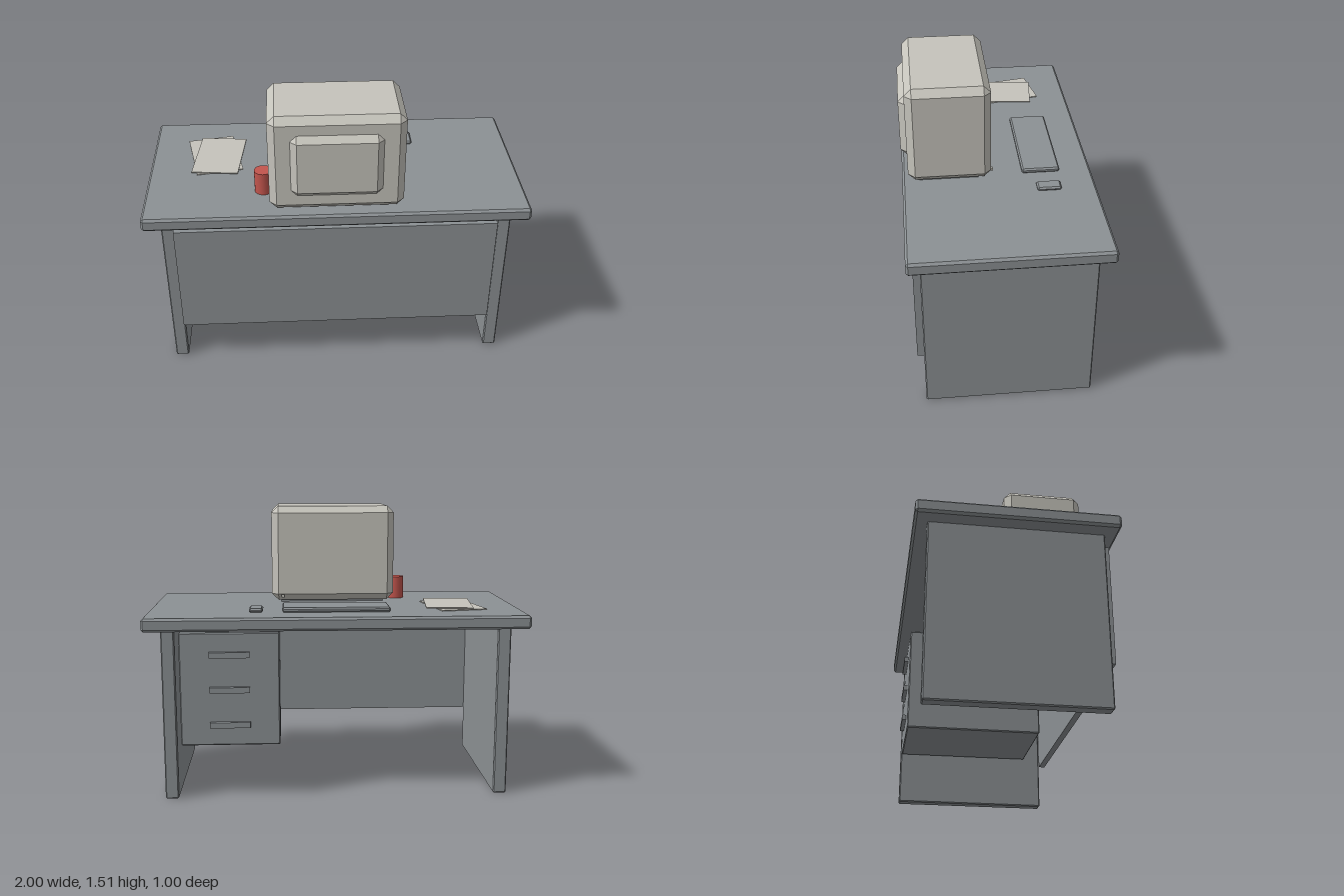
import * as THREE from 'three';
import { ConvexGeometry } from 'three/addons/geometries/ConvexGeometry.js';

// Box with flat chamfers on every edge
function chamferBox(w, h, d, c) {
  const pts = [];
  for (const sx of [-1, 1]) for (const sy of [-1, 1]) for (const sz of [-1, 1]) {
    const x = w / 2, y = h / 2, z = d / 2;
    pts.push(
      new THREE.Vector3(sx * x, sy * (y - c), sz * (z - c)),
      new THREE.Vector3(sx * (x - c), sy * y, sz * (z - c)),
      new THREE.Vector3(sx * (x - c), sy * (y - c), sz * z));
  }
  return new ConvexGeometry(pts);
}

export function createModel() {
  const model = new THREE.Group();
  model.name = 'officeDesk';
  const material = (name, color) => {
    const m = new THREE.MeshStandardMaterial({ color });
    m.name = name;
    return m;
  };
  const grey = material('deskGrey', 0x8c9194);
  const beige = material('paleBeige', 0xc6c4bc);
  const red = material('cupRed', 0xc2554d);

  // Adds a block between min and max on each axis, optionally chamfered
  function block(name, mat, [x0, x1], [y0, y1], [z0, z1], chamfer = 0) {
    const w = x1 - x0, h = y1 - y0, d = z1 - z0;
    const geo = chamfer ? chamferBox(w, h, d, chamfer) : new THREE.BoxGeometry(w, h, d);
    const mesh = new THREE.Mesh(geo, mat);
    mesh.name = name;
    mesh.position.set((x0 + x1) / 2, (y0 + y1) / 2, (z0 + z1) / 2);
    model.add(mesh);
    return mesh;
  }

  // Desk
  block('deskTop', grey, [-1, 1], [0.905, 0.975], [-0.5, 0.5], 0.012);
  block('leftSidePanel', grey, [0.84, 0.91], [0, 0.91], [-0.435, 0.435], 0.006);
  block('rightSidePanel', grey, [-0.91, -0.84], [0, 0.91], [-0.435, 0.435], 0.006);
  block('modestyPanel', grey, [-0.845, 0.835], [0.25, 0.875], [0.435, 0.47]);

  // Drawer pedestal with three handles
  block('drawerPedestal', grey, [0.3, 0.82], [0.29, 0.89], [-0.432, 0.335], 0.006);
  [0.775, 0.59, 0.403].forEach((y, i) =>
    block('drawerHandle' + (i + 1), grey, [0.455, 0.665], [y - 0.015, y + 0.015], [-0.455, -0.43]));

  // Monitor
  block('monitorFoot', grey, [-0.29, 0.29], [0.974, 0.995], [0.1, 0.41]);
  block('monitorBody', beige, [-0.345, 0.342], [0.988, 1.515], [0.035, 0.468], 0.037);
  block('monitorHump', beige, [-0.235, 0.23], [1.08, 1.425], [0.4, 0.5], 0.033);
  block('monitorButton', beige, [0.272, 0.288], [1.008, 1.024], [0.025, 0.06]);

  // Keyboard and mouse
  block('keyboard', grey, [-0.288, 0.285], [0.975, 1.001], [-0.33, -0.13], 0.008);
  block('mouse', grey, [0.387, 0.46], [0.975, 0.995], [-0.315, -0.19], 0.008);

  // Two loose sheets, turned slightly
  const sheets = [[-0.652, 0.979, -0.123, 0.19], [-0.628, 0.987, -0.104, -0.1]];
  sheets.forEach(([x, y, z, turn], i) => {
    const sheet = new THREE.Mesh(new THREE.BoxGeometry(0.252, 0.005, 0.37), beige);
    sheet.name = 'paperSheet' + (i + 1);
    sheet.position.set(x, y, z);
    sheet.rotation.y = turn;
    model.add(sheet);
  });

  // Cup
  const cup = new THREE.Mesh(new THREE.CylinderGeometry(0.047, 0.047, 0.125, 24), red);
  cup.name = 'cup';
  cup.position.set(-0.378, 1.0375, 0.245);
  model.add(cup);

  return model;
}
